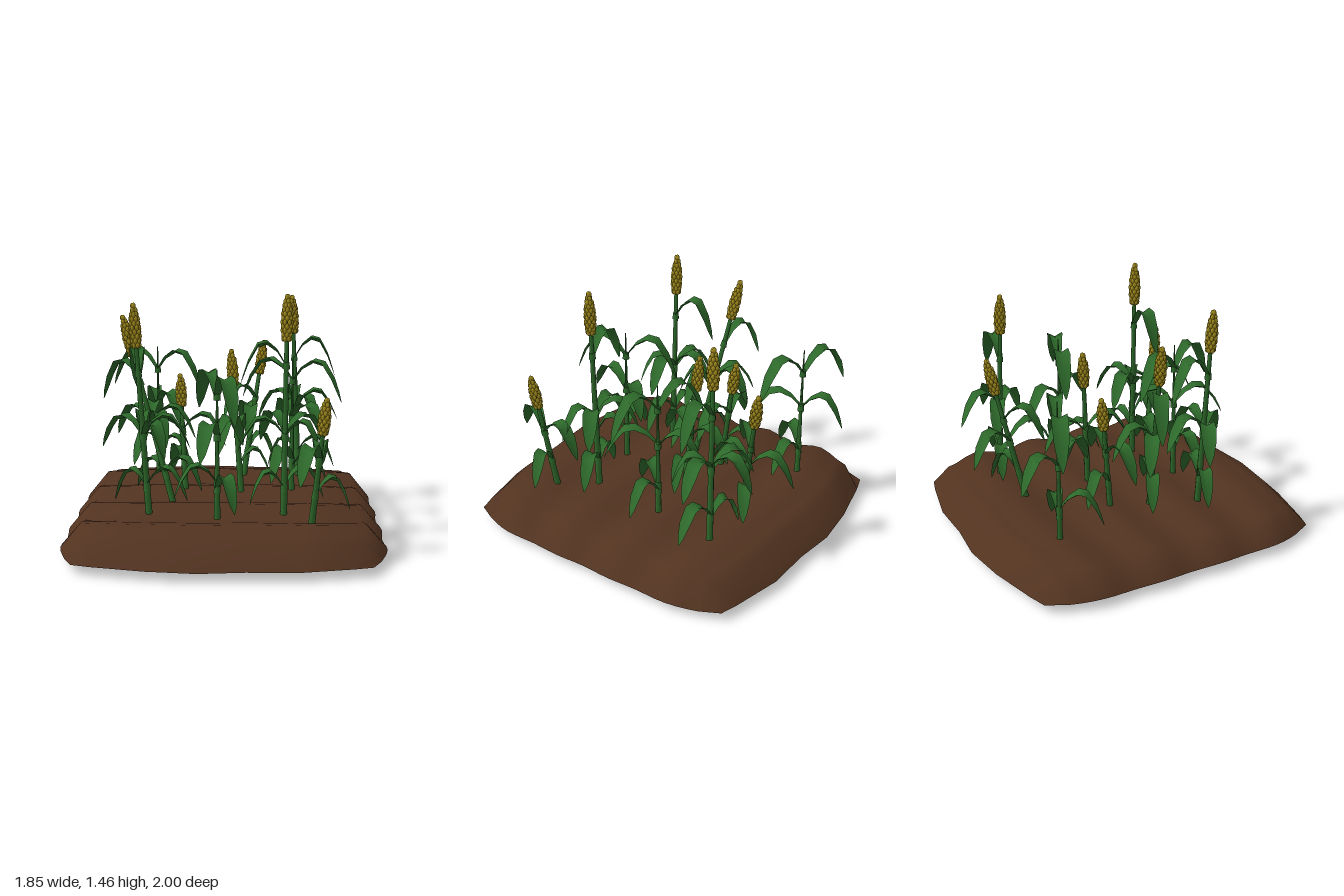
import * as THREE from 'three';
import { mergeGeometries } from 'three/addons/utils/BufferGeometryUtils.js';

const soil = new THREE.MeshStandardMaterial({ color: 0x523320, side: THREE.DoubleSide });
soil.name = 'soil brown';
const green = new THREE.MeshStandardMaterial({ color: 0x2e6a2b, side: THREE.DoubleSide });
green.name = 'leaf green';
const gold = new THREE.MeshStandardMaterial({ color: 0xa08a1c });
gold.name = 'grain gold';

const UP = new THREE.Vector3(0, 1, 0);

function part(name, geometry, material) {
  const mesh = new THREE.Mesh(geometry, material);
  mesh.name = name;
  return mesh;
}

// Surface through a grid of points, rows[j][i] = [x, y, z]
function gridSurface(rows) {
  const n = rows[0].length, index = [];
  for (let j = 0; j < rows.length - 1; j++) {
    for (let i = 0; i < n - 1; i++) {
      const a = j * n + i, b = a + n;
      index.push(a, b, a + 1, a + 1, b, b + 1);
    }
  }
  const g = new THREE.BufferGeometry();
  g.setAttribute('position', new THREE.Float32BufferAttribute(rows.flat(2), 3));
  g.setIndex(index);
  g.computeVertexNormals();
  return g;
}

// Hollow plot of soil with furrows along x and chamfered corners
function plot() {
  const us = [-1, -0.87, -0.5, -0.16, 0.16, 0.5, 0.87, 1];
  const vs = [-1];
  for (let j = 0; j <= 24; j++) vs.push(-0.87 + j * 1.74 / 24);
  vs.push(1);
  const rows = vs.map(v => us.map(u => {
    const wave = Math.cos(2 * Math.PI * (v - 0.65) / 0.43);
    const rim = Math.abs(u) === 1 || Math.abs(v) === 1;
    const x = u * (0.915 + 0.008 * wave) * (1 - 0.12 * v ** 6);
    const z = v * (1 - 0.13 * u * u) * (u === 0.16 ? 0.975 : 1.003);
    return [x, rim ? 0.057 + 0.004 * wave : 0.2 + 0.017 * wave - 0.014 * u * u, z];
  }));
  return part('soilPlot', gridSurface(rows), soil);
}

// Arched blade: [distance, rise, half width] along its length
const BLADE = [[0, 0, 0.018], [0.2, 0.085, 0.03], [0.42, 0.13, 0.042],
  [0.62, 0.115, 0.046], [0.82, 0.02, 0.04], [0.93, -0.06, 0.025], [1, -0.115, 0.004]];

function leaf(root, degrees, reach, arch) {
  const angle = THREE.MathUtils.degToRad(degrees);
  const c = Math.cos(angle), s = Math.sin(angle);
  const size = Math.min(1, 0.55 + reach * 1.6);
  const rows = BLADE.map(([t, rise, w]) => [-1, 0, 1].map(side => [
    root.x + c * reach * t - s * side * w * size,
    root.y + rise * arch + (Math.abs(side) - 0.6) * w * 0.55,
    root.z + s * reach * t + c * side * w * size,
  ]));
  return gridSurface(rows);
}

// Seed head: staggered rings of grains around the upper stalk
function seedHead(length) {
  const grains = [];
  const rings = Math.round(length / 0.027);
  for (let k = 0; k <= rings; k++) {
    const t = k / rings;
    const radius = 0.025 * Math.pow(Math.sin(Math.PI * (0.25 + 0.71 * t)), 0.8);
    const count = t > 0.85 ? 3 : 6;
    for (let i = 0; i < count; i++) {
      const a = (i + (k % 2) / 2) / count * Math.PI * 2;
      const g = new THREE.SphereGeometry(1, 6, 5);
      g.scale(0.0125, 0.018, 0.0125);
      g.translate(Math.cos(a) * radius, t * (length - 0.03) + 0.012, Math.sin(a) * radius);
      grains.push(g);
    }
  }
  return mergeGeometries(grains);
}

// Leaf layout of each growth stage: [degrees from +x towards +z, reach, arch height]
const YOUNG = [[23, 0.31, 1.02], [202, 0.32, 1.02], [256, 0.26, 0.76],
  [58, 0.31, 0.77], [124, 0.25, 0.5], [15, 0.22, 0.46]];
const TALL = [[0, 0.27, 0.77], [55, 0.22, 0.75], [208, 0.27, 0.76],
  [268, 0.26, 0.78], [12, 0.24, 0.47], [200, 0.2, 0.45]];
const SHORT = [[0, 0.27, 0.68], [160, 0.27, 0.66], [235, 0.2, 0.47]];

function plant({ base, tip, head = 0, leaves, yaw, topLeaf }) {
  const group = new THREE.Group();
  group.name = 'plant';
  const a = new THREE.Vector3(...base), b = new THREE.Vector3(...tip);
  const dir = b.clone().sub(a), length = dir.length();
  dir.normalize();
  const turn = new THREE.Quaternion().setFromUnitVectors(UP, dir);
  const place = geometry => geometry.applyQuaternion(turn).translate(...base);

  // Stalk, ending inside the seed head or in a point
  const stem = length - head * 0.3;
  const stalk = new THREE.CylinderGeometry(head ? 0.011 : 0.003, 0.021, stem, 8);
  group.add(part('stalk', place(stalk.translate(0, stem / 2, 0)), green));

  // Leaves, each with a ring where it joins the stalk
  const layout = leaves.map(([angle, reach, peak]) => [angle + yaw, reach, peak]);
  if (topLeaf !== undefined) layout.push([topLeaf, 0.26, tip[1] - 0.27]);
  const blades = [], joints = [];
  for (const [angle, reach, peak] of layout) {
    const arch = peak > 0.9 ? 1 : 0.8;
    const root = a.clone().lerp(b, (peak - 0.13 * arch - a.y) / (b.y - a.y));
    blades.push(leaf(root, angle, reach, arch));
    const joint = new THREE.CylinderGeometry(0.017, 0.021, 0.04, 8);
    joints.push(joint.applyQuaternion(turn).translate(root.x, root.y, root.z));
  }
  group.add(part('leaves', mergeGeometries(blades), green));
  group.add(part('joints', mergeGeometries(joints), green));

  if (head) {
    group.add(part('seedHead', place(seedHead(head).translate(0, length - head, 0)), gold));
  }
  return group;
}

// Plants from back to front
const PLANTS = [
  { base: [-0.46, 0.07, -0.6], tip: [-0.46, 1.04, -0.6], leaves: YOUNG, yaw: 0 },
  { base: [0.08, 0.06, -0.52], tip: [0.23, 1.07, -0.71], head: 0.22, leaves: SHORT, yaw: 95, topLeaf: 140 },
  { base: [0.46, 0.07, -0.56], tip: [0.405, 1.38, -0.53], head: 0.24, leaves: TALL, yaw: 0, topLeaf: 5 },
  { base: [-0.25, 0.06, -0.15], tip: [-0.29, 0.92, -0.24], head: 0.2, leaves: SHORT, yaw: 10 },
  { base: [0.1, 0.06, -0.12], tip: [0.025, 1.08, -0.19], head: 0.22, leaves: SHORT, yaw: 113 },
  { base: [0.4, 0.07, -0.16], tip: [0.4, 1.04, -0.16], leaves: YOUNG, yaw: -3 },
  { base: [-0.27, 0.01, 0.09], tip: [-0.62, 1.3, -0.05], head: 0.25, leaves: TALL, yaw: 8, topLeaf: 205 },
  { base: [-0.43, 0.07, 0.33], tip: [-0.51, 1.41, 0.35], head: 0.25, leaves: TALL, yaw: -3, topLeaf: 262 },
  { base: [-0.04, 0.07, 0.41], tip: [-0.04, 1.04, 0.4], leaves: YOUNG, yaw: 47 },
  { base: [0.34, 0.06, 0.33], tip: [0.35, 1.46, 0.35], head: 0.26, leaves: TALL, yaw: -30, topLeaf: 178 },
  { base: [0.48, 0.06, 0.52], tip: [0.56, 0.93, 0.64], head: 0.21, leaves: SHORT, yaw: 115 },
];

export function createModel() {
  const model = new THREE.Group();
  model.name = 'cropField';
  model.add(plot());
  for (const p of PLANTS) model.add(plant(p));
  return model;
}
